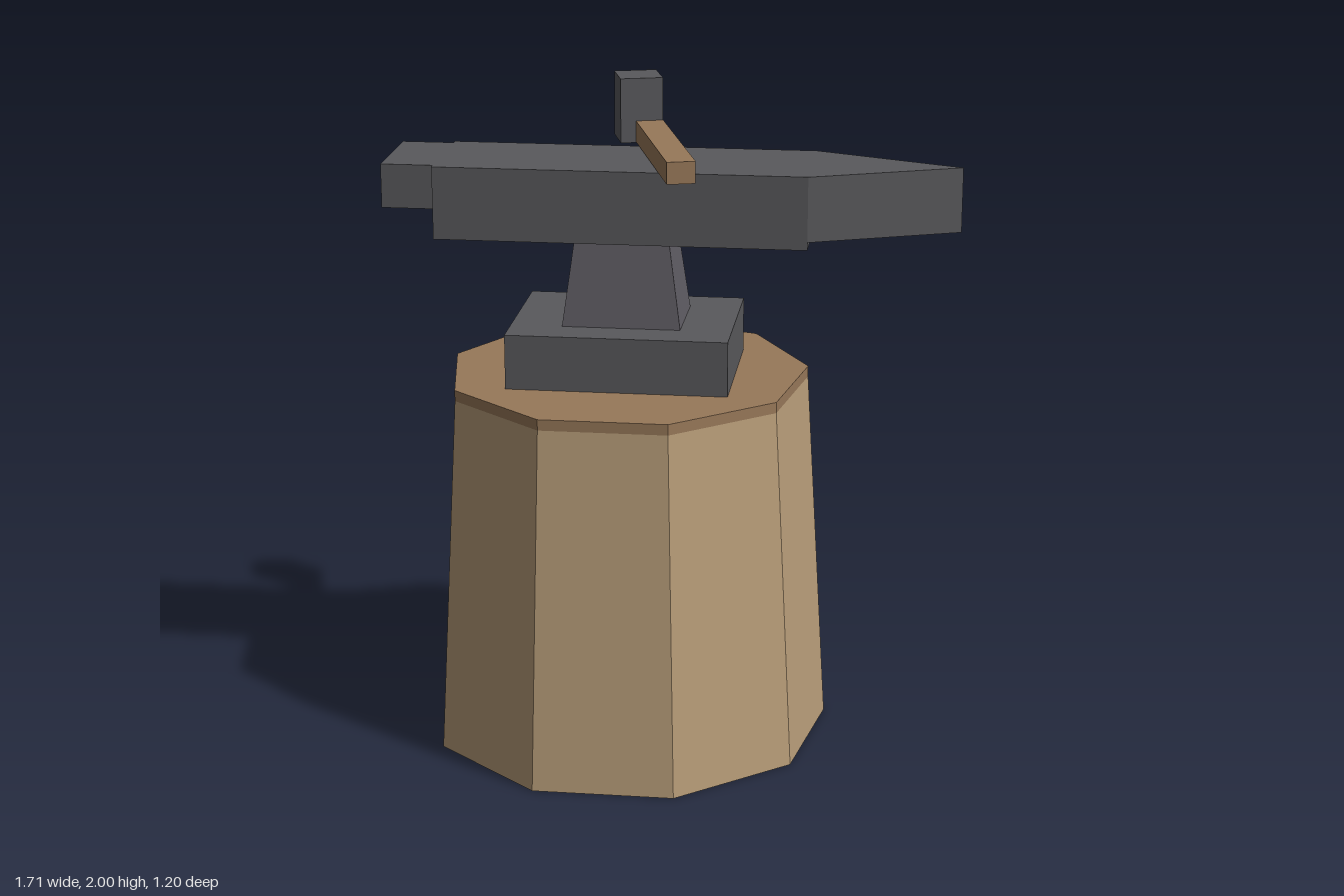
import * as THREE from 'three';

const flat = (name, color) => {
  const m = new THREE.MeshStandardMaterial({ color, flatShading: true });
  m.name = name;
  return m;
};

export function createModel() {
  const bark = flat('bark', 0xb89d79);
  const cutWood = flat('cutWood', 0x977859);
  const steel = flat('steel', 0x59595c);
  const waistSteel = flat('waistSteel', 0x5f5c63);

  const model = new THREE.Group();
  model.name = 'anvilOnStump';
  const CX = -0.147, CZ = 0.017; // shared axis of stump and anvil

  const add = (parent, name, geometry, material, x, y, z) => {
    const mesh = new THREE.Mesh(geometry, material);
    mesh.name = name;
    mesh.position.set(x, y, z);
    parent.add(mesh);
    return mesh;
  };
  // Box given by its extent in x and y, and its depth about a centre z
  const block = (parent, name, material, x0, x1, y0, y1, depth, z = CZ) =>
    add(parent, name, new THREE.BoxGeometry(x1 - x0, y1 - y0, depth), material,
      (x0 + x1) / 2, (y0 + y1) / 2, z);

  // Nine-sided tapered stump with a thin cut-wood cap
  add(model, 'stump', new THREE.CylinderGeometry(0.554, 0.621, 1.115, 9, 1, false, Math.PI),
    bark, CX, 0.5575, CZ);
  add(model, 'stumpTop', new THREE.CylinderGeometry(0.554, 0.554, 0.033, 9, 1, false, Math.PI),
    cutWood, CX, 1.1315, CZ);

  const anvil = new THREE.Group();
  anvil.name = 'anvil';
  model.add(anvil);

  block(anvil, 'foot', steel, -0.48, 0.185, 1.148, 1.315, 0.49);

  // Waist: a box narrowed towards the top
  const waist = block(anvil, 'waist', waistSteel, -0.325, 0.031, 1.315, 1.585, 0.266);
  const p = waist.geometry.attributes.position;
  for (let i = 0; i < p.count; i++) {
    if (p.getY(i) > 0) p.setXYZ(i, p.getX(i) * 0.79, p.getY(i), p.getZ(i) * 0.79);
  }
  waist.geometry.computeVertexNormals();

  block(anvil, 'body', steel, -0.7, 0.409, 1.583, 1.802, 0.352);
  block(anvil, 'heel', steel, -0.857, -0.7, 1.67, 1.802, 0.312);

  // Horn: a wedge running to a vertical edge
  const wedge = new THREE.Shape([
    new THREE.Vector2(0.409, -0.176),
    new THREE.Vector2(0.852, 0),
    new THREE.Vector2(0.409, 0.176),
  ]);
  const hornGeometry = new THREE.ExtrudeGeometry(wedge, { depth: 0.195, bevelEnabled: false });
  hornGeometry.rotateX(-Math.PI / 2);
  add(anvil, 'horn', hornGeometry, steel, 0, 1.607, CZ);

  // Hammer lying across the face
  const hammer = new THREE.Group();
  hammer.name = 'hammer';
  hammer.position.set(-0.148, 1.802, -0.273);
  hammer.rotation.y = 0.287;
  model.add(hammer);
  block(hammer, 'hammerHead', steel, -0.065, 0.065, 0, 0.198, 0.13, 0);
  block(hammer, 'hammerHandle', cutWood, -0.018, 0.066, 0.002, 0.067, 0.572, 0.351);

  return model;
}
